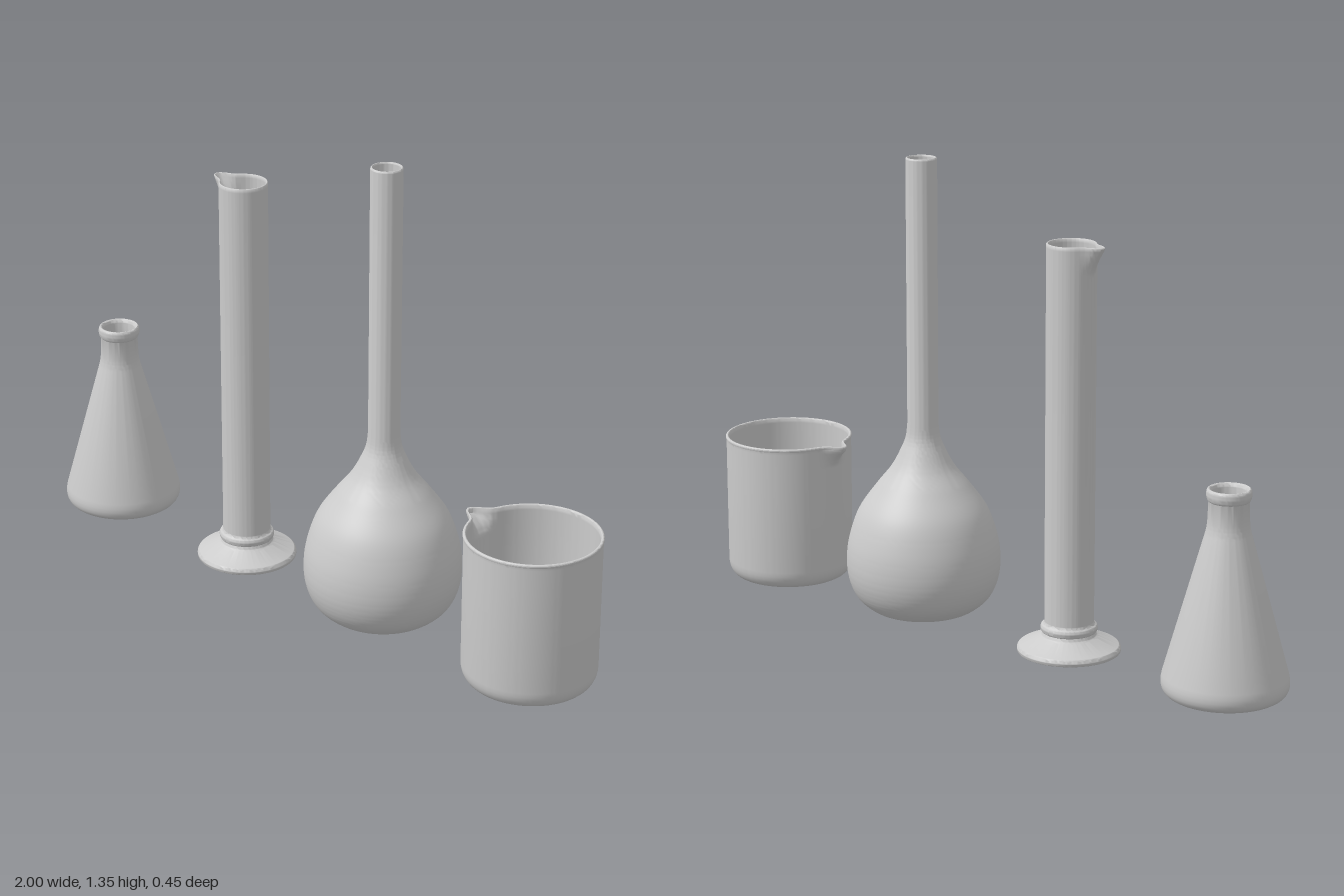
import * as THREE from 'three';
import { toCreasedNormals } from 'three/addons/utils/BufferGeometryUtils.js';

// Spin a closed-wall profile (outside going up, inside going down); optionally pull a pouring spout toward -x
function vessel(name, x, path, segments, spout) {
  let geo = new THREE.LatheGeometry(path.getPoints(8), segments);
  if (spout) {
    const p = geo.attributes.position;
    for (let i = 0; i < p.count; i++) {
      const px = p.getX(i), py = p.getY(i), pz = p.getZ(i);
      const r = Math.hypot(px, pz);
      if (py < spout.from || r < 1e-4) continue;
      const angle = Math.atan2(pz, -px);
      const rise = Math.min(1, (py - spout.from) / spout.rise);
      const push = spout.reach * Math.pow(rise, spout.power) * Math.exp(-((angle / spout.spread) ** 2));
      p.setX(i, px * (r + push) / r);
      p.setZ(i, pz * (r + push) / r);
    }
  }
  geo = toCreasedNormals(geo, 0.75);
  const mesh = new THREE.Mesh(geo, new THREE.MeshStandardMaterial({ color: 0xcccccc, side: THREE.DoubleSide }));
  mesh.name = name;
  mesh.position.x = x;
  return mesh;
}

// Straight wall split into short steps so that a spout can bend it
function wall(path, r, y0, y1, steps = 10) {
  for (let i = 1; i <= steps; i++) path.lineTo(r, y0 + (y1 - y0) * i / steps);
}

function conicalFlask() {
  const p = new THREE.Path();
  p.moveTo(0, 0);
  p.lineTo(0.135, 0);
  p.bezierCurveTo(0.165, 0, 0.182, 0.02, 0.172, 0.06);
  p.lineTo(0.064, 0.45);
  p.quadraticCurveTo(0.058, 0.47, 0.057, 0.49);
  p.lineTo(0.055, 0.545);
  // rolled lip
  p.bezierCurveTo(0.063, 0.55, 0.064, 0.578, 0.056, 0.58);
  p.quadraticCurveTo(0.048, 0.58, 0.047, 0.565);
  p.lineTo(0.047, 0.48);
  p.lineTo(0.054, 0.45);
  p.lineTo(0.162, 0.06);
  p.bezierCurveTo(0.168, 0.03, 0.155, 0.01, 0.135, 0.01);
  p.lineTo(0, 0.01);
  return vessel('conicalFlask', -0.825, p, 72);
}

function measuringCylinder() {
  const p = new THREE.Path();
  p.moveTo(0, 0);
  p.lineTo(0.142, 0);
  // foot
  p.quadraticCurveTo(0.147, 0, 0.147, 0.008);
  p.quadraticCurveTo(0.147, 0.018, 0.138, 0.021);
  p.lineTo(0.085, 0.045);
  p.quadraticCurveTo(0.075, 0.05, 0.074, 0.058);
  // collar
  p.bezierCurveTo(0.083, 0.059, 0.083, 0.081, 0.074, 0.081);
  p.quadraticCurveTo(0.07, 0.083, 0.07, 0.09);
  p.lineTo(0.07, 1.08);
  wall(p, 0.07, 1.08, 1.168);
  p.quadraticCurveTo(0.067, 1.174, 0.064, 1.168);
  wall(p, 0.064, 1.168, 1.08);
  p.lineTo(0.064, 0.06);
  p.quadraticCurveTo(0.062, 0.045, 0.045, 0.045);
  p.lineTo(0, 0.045);
  return vessel('measuringCylinder', -0.283, p, 160,
    { from: 1.085, rise: 0.08, reach: 0.042, power: 1.3, spread: 0.3 });
}

function volumetricFlask() {
  const p = new THREE.Path();
  const bulb = [[0.155, 0.015], [0.195, 0.05], [0.218, 0.1], [0.225, 0.16], [0.216, 0.23],
    [0.188, 0.31], [0.137, 0.383], [0.092, 0.44], [0.063, 0.495], [0.05, 0.53], [0.045, 0.57]];
  const points = (inset) => bulb.map(([r, y]) => new THREE.Vector2(r - inset, y + inset * 0.5));
  p.moveTo(0, 0);
  p.lineTo(0.115, 0);
  p.splineThru(points(0));
  p.lineTo(0.045, 1.335);
  p.quadraticCurveTo(0.045, 1.345, 0.041, 1.345);
  p.quadraticCurveTo(0.038, 1.345, 0.038, 1.335);
  p.lineTo(0.038, 0.58);
  p.splineThru(points(0.007).reverse());
  p.lineTo(0.11, 0.01);
  p.lineTo(0, 0.01);
  return vessel('volumetricFlask', 0.265, p, 80);
}

function beaker() {
  const p = new THREE.Path();
  p.moveTo(0, 0);
  p.lineTo(0.14, 0);
  p.bezierCurveTo(0.17, 0, 0.188, 0.02, 0.188, 0.055);
  p.lineTo(0.188, 0.36);
  wall(p, 0.188, 0.36, 0.43);
  // rounded rim
  p.bezierCurveTo(0.192, 0.434, 0.19, 0.44, 0.185, 0.44);
  p.quadraticCurveTo(0.18, 0.44, 0.18, 0.432);
  wall(p, 0.18, 0.432, 0.36);
  p.lineTo(0.18, 0.055);
  p.bezierCurveTo(0.18, 0.025, 0.165, 0.01, 0.14, 0.01);
  p.lineTo(0, 0.01);
  return vessel('beaker', 0.81, p, 160,
    { from: 0.365, rise: 0.06, reach: 0.045, power: 1.7, spread: 0.15 });
}

export function createModel() {
  const group = new THREE.Group();
  group.name = 'laboratoryGlassware';
  group.add(conicalFlask(), measuringCylinder(), volumetricFlask(), beaker());
  return group;
}
